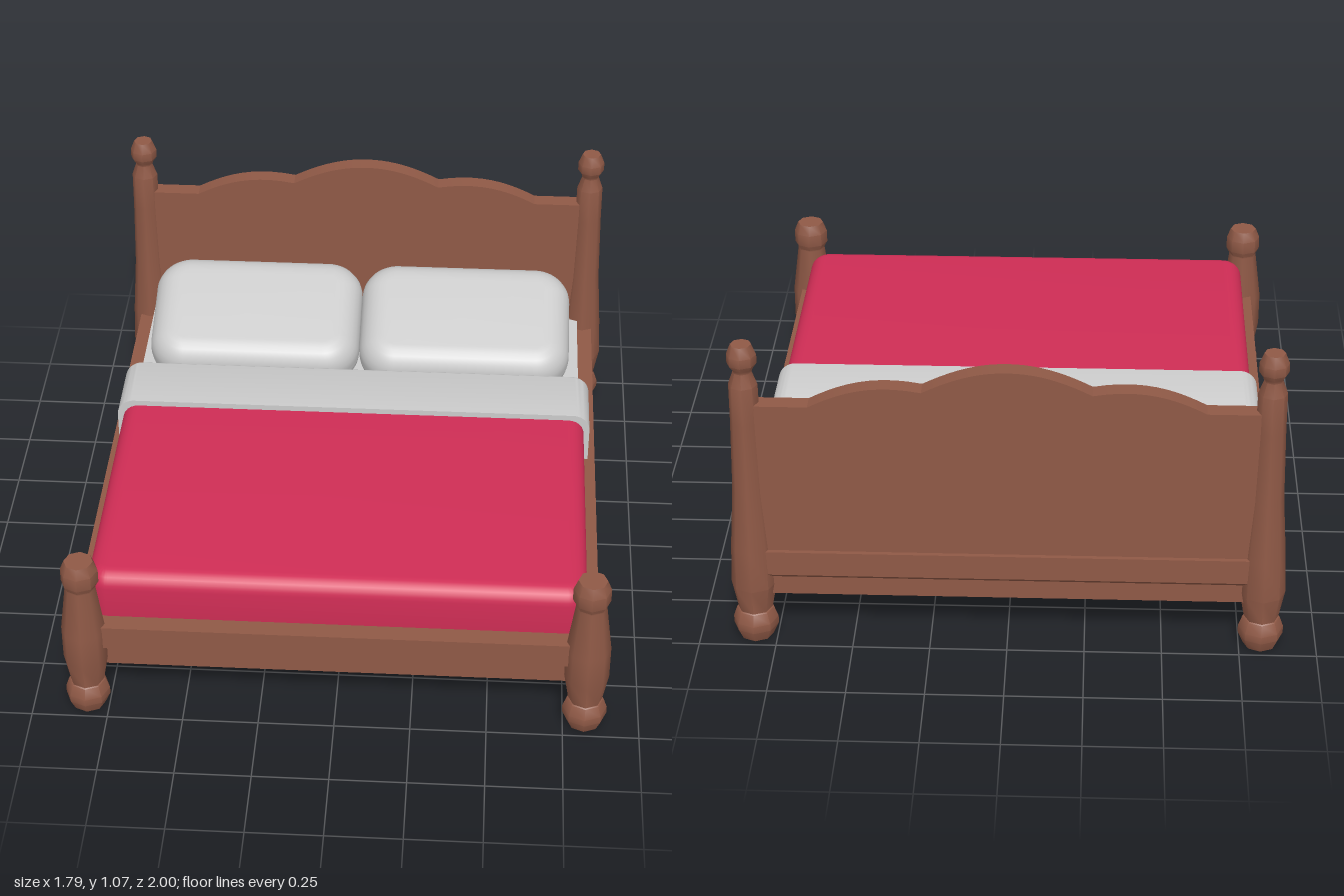
import * as THREE from 'three';
import { toCreasedNormals } from 'three/addons/utils/BufferGeometryUtils.js';

const wood = new THREE.MeshStandardMaterial({ color: 0x8f5946 });
const red = new THREE.MeshStandardMaterial({ color: 0xcf2d55 });
const grey = new THREE.MeshStandardMaterial({ color: 0xcccccc });

function add(parent, name, geometry, material, x = 0, y = 0, z = 0) {
  const mesh = new THREE.Mesh(geometry, material);
  mesh.name = name;
  mesh.position.set(x, y, z);
  parent.add(mesh);
  return mesh;
}

// Rectangle with rounded corners, centred on the origin
function roundedRect(w, h, r) {
  const s = new THREE.Shape();
  const a = w / 2 - r, b = h / 2 - r;
  s.absarc(a, b, r, 0, Math.PI / 2);
  s.absarc(-a, b, r, Math.PI / 2, Math.PI);
  s.absarc(-a, -b, r, Math.PI, Math.PI * 1.5);
  s.absarc(a, -b, r, Math.PI * 1.5, Math.PI * 2);
  s.closePath();
  return s;
}

// Soft block: rounded plan, rounded edges; taper makes the +z end thicker
function cushion(w, h, d, corner, edge, taper = 0) {
  const g = new THREE.ExtrudeGeometry(
    roundedRect(w - 2 * edge, d - 2 * edge, Math.max(corner - edge, 0.01)),
    { depth: h - 2 * edge, bevelThickness: edge, bevelSize: edge, bevelSegments: 6, curveSegments: 6 });
  g.rotateX(-Math.PI / 2);
  g.center();
  const p = g.attributes.position;
  for (let i = 0; i < p.count; i++) p.setY(i, p.getY(i) * (1 + taper * p.getZ(i)));
  return toCreasedNormals(g, 0.7);
}

// Frame tier whose lower edge can be drawn inwards
function tier(y0, y1, insetLow, insetHigh) {
  const w = 1.71, d = 1.92;
  const g = new THREE.BoxGeometry(w, y1 - y0, d);
  const p = g.attributes.position;
  for (let i = 0; i < p.count; i++) {
    const inset = p.getY(i) < 0 ? insetLow : insetHigh;
    p.setX(i, p.getX(i) * (1 - 2 * inset / w));
    p.setZ(i, p.getZ(i) * (1 - 2 * inset / d));
  }
  g.translate(0, (y0 + y1) / 2, -0.012);
  return toCreasedNormals(g, 0.2);
}

// Eight-sided turned post from [radius, height] pairs
function post(profile) {
  const pts = profile.map(([r, y]) => new THREE.Vector2(r, y));
  return toCreasedNormals(new THREE.LatheGeometry(pts, 8), 0.8);
}

export function createModel() {
  const bed = new THREE.Group();
  bed.name = 'bed';

  // Posts: shared foot, short at the front, tall at the head
  const foot = [[0, 0], [0.055, 0], [0.073, 0.04], [0.073, 0.065], [0.06, 0.102], [0.056, 0.105]];
  const shortPost = post([...foot, [0.073, 0.2], [0.073, 0.32], [0.05, 0.495], [0.05, 0.5],
    [0.061, 0.52], [0.061, 0.565], [0.047, 0.6], [0, 0.6]]);
  const tallPost = post([...foot, [0.074, 0.2], [0.068, 0.34], [0.053, 0.55], [0.047, 0.8], [0.046, 0.93],
    [0.03, 0.975], [0.033, 0.985], [0.047, 1.005], [0.047, 1.035], [0.033, 1.07], [0, 1.07]]);
  for (const side of [1, -1]) {
    const label = side > 0 ? 'left' : 'right';
    add(bed, label + 'FrontPost', shortPost, wood, side * 0.82, 0, 0.925);
    add(bed, label + 'BackPost', tallPost, wood, side * 0.82, 0, -0.925);
  }

  // Frame with a bevelled step between the upper and lower rails
  const frame = new THREE.Group();
  frame.name = 'frame';
  bed.add(frame);
  add(frame, 'upperRail', tier(0.255, 0.34, 0, 0), wood);
  add(frame, 'railBevel', tier(0.23, 0.255, 0.03, 0), wood);
  add(frame, 'lowerRail', tier(0.165, 0.23, 0.03, 0.03), wood);

  // Headboard with a three-lobed crest
  const crest = new THREE.Shape();
  crest.moveTo(-0.81, 0.3);
  crest.lineTo(0.81, 0.3);
  crest.lineTo(0.81, 0.867);
  crest.lineTo(0.62, 0.867);
  crest.bezierCurveTo(0.52, 0.92, 0.42, 0.955, 0.265, 0.925);
  crest.bezierCurveTo(0.17, 0.975, 0.09, 1.0, 0, 1.0);
  crest.bezierCurveTo(-0.09, 1.0, -0.17, 0.975, -0.265, 0.925);
  crest.bezierCurveTo(-0.42, 0.955, -0.52, 0.92, -0.62, 0.867);
  crest.lineTo(-0.81, 0.867);
  crest.closePath();
  const board = new THREE.ExtrudeGeometry(crest, { depth: 0.06, bevelEnabled: false, curveSegments: 10 });
  add(bed, 'headboard', toCreasedNormals(board, 0.4), wood, 0, 0, -0.957);

  // Bedding
  add(bed, 'mattress', new THREE.BoxGeometry(1.6, 0.1, 1.6), grey, 0, 0.325, -0.085);
  add(bed, 'blanket', cushion(1.62, 0.235, 1.085, 0.07, 0.055), red, 0, 0.3875, 0.3425);

  // Folded sheet: rounded at the head end, cut square against the blanket
  const edge = 0.03, depth = 0.225;
  const fold = new THREE.ExtrudeGeometry(roundedRect(1.66 - 2 * edge, 0.245 - 2 * edge, 0.03),
    { depth, bevelThickness: edge, bevelSize: edge, bevelSegments: 5, curveSegments: 6 });
  const fp = fold.attributes.position;
  for (let i = 0; i < fp.count; i++) fp.setZ(i, Math.min(fp.getZ(i), depth));
  add(bed, 'foldedSheet', toCreasedNormals(fold, 0.7), grey, 0, 0.4025, -0.28);

  // Two stacked pillows on each side, the upper one leaning
  const lower = cushion(0.75, 0.165, 0.42, 0.13, 0.08);
  const upper = cushion(0.76, 0.195, 0.49, 0.13, 0.09, 0.35);
  for (const side of [1, -1]) {
    const label = side > 0 ? 'left' : 'right';
    add(bed, label + 'LowerPillow', lower, grey, side * 0.38, 0.457, -0.685).rotation.x = 0.06;
    add(bed, label + 'UpperPillow', upper, grey, side * 0.38, 0.527, -0.577).rotation.x = 0.36;
  }
  return bed;
}
